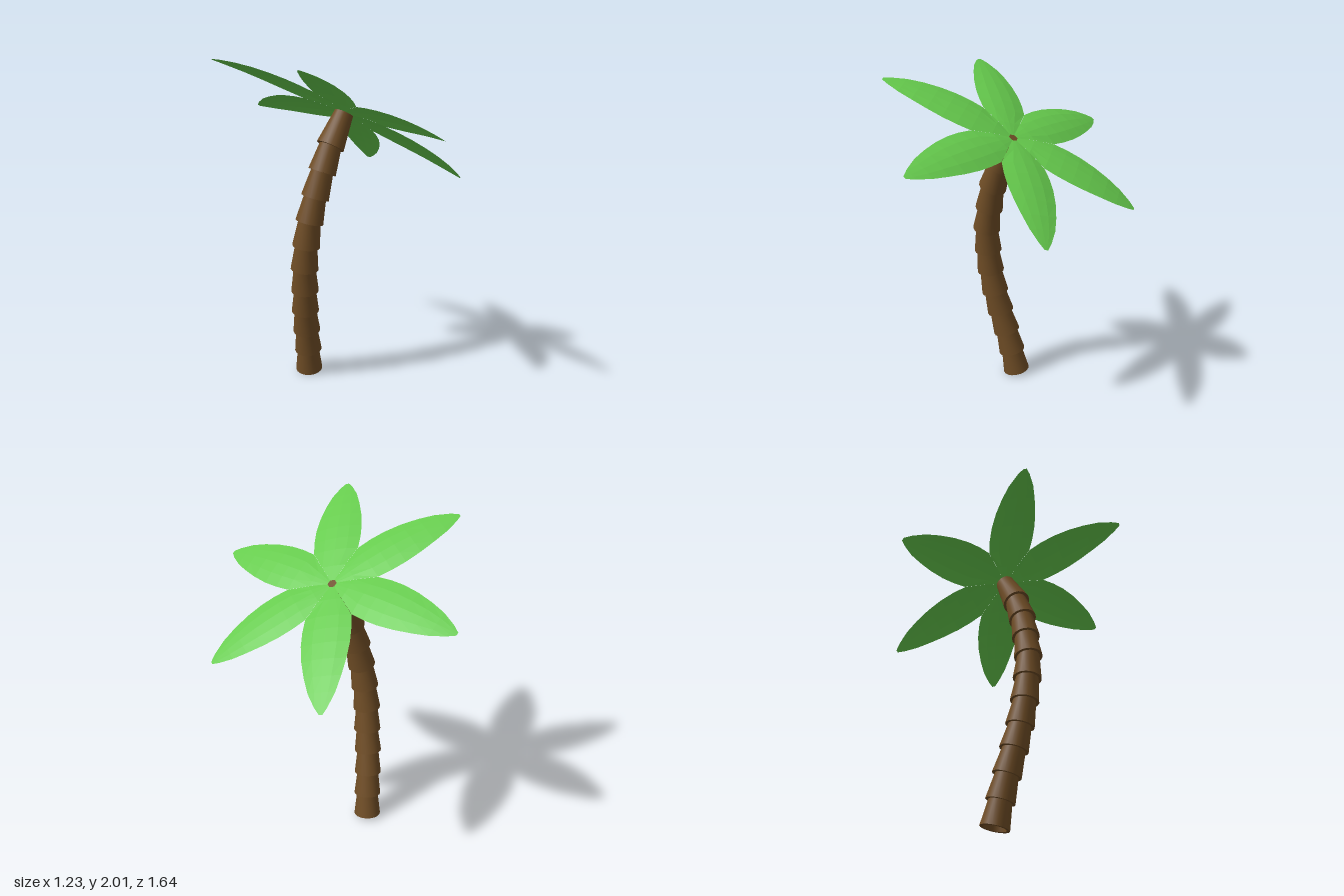
import * as THREE from 'three';
import { toCreasedNormals } from 'three/addons/utils/BufferGeometryUtils.js';

const BARK = new THREE.MeshStandardMaterial({ color: 0x6e4c25 });
const LEAF = new THREE.MeshStandardMaterial({ color: 0x66cb4d, flatShading: true, side: THREE.DoubleSide });

const HUB = new THREE.Vector3(0.026, 1.68, 0);
const CROWN_TILT = -0.54;
const FROND_LENGTH = 0.82;

// Centre of the lower rim of each trunk ring, ending at the crown
const RINGS = [
  [-0.105, 0.012, -0.19], [-0.127, 0.16, -0.17], [-0.155, 0.307, -0.148],
  [-0.185, 0.455, -0.122], [-0.207, 0.6, -0.095], [-0.225, 0.75, -0.074],
  [-0.227, 0.9, -0.053], [-0.217, 1.052, -0.032], [-0.183, 1.2, -0.019],
  [-0.14, 1.348, -0.005], [-0.08, 1.495, 0],
].map(p => new THREE.Vector3(...p)).concat(HUB);

// Flared ring with a hollow underside and a closed top
function trunkRing(from, to, isLast) {
  const dir = to.clone().sub(from);
  const length = dir.length() + (isLast ? 0 : 0.015);
  const profile = [
    [0, 0.08], [0.055, 0.07], [0.066, 0], [0.085, 0], [isLast ? 0.058 : 0.066, length], [0, length],
  ].map(p => new THREE.Vector2(...p));
  const ring = new THREE.Mesh(toCreasedNormals(new THREE.LatheGeometry(profile, 18), 0.6), BARK);
  ring.position.copy(from);
  ring.quaternion.setFromUnitVectors(new THREE.Vector3(0, 1, 0), dir.normalize());
  return ring;
}

// Frond outline: distance from the hub, half width
const OUTLINE = [
  [0.024, 0.014], [0.12, 0.069], [0.235, 0.135], [0.32, 0.143], [0.41, 0.142],
  [0.51, 0.129], [0.61, 0.106], [0.7, 0.078], [0.78, 0.038], [FROND_LENGTH, 0.01],
];

// Arched blade along +x, its edges drooping on both sides of the midrib
function frondGeometry() {
  const rows = OUTLINE.length - 1;
  const geometry = new THREE.PlaneGeometry(2, 1, 4, rows);
  const pos = geometry.attributes.position;
  for (let i = 0; i < pos.count; i++) {
    const [r, half] = OUTLINE[Math.round((pos.getY(i) + 0.5) * rows)];
    const across = pos.getX(i) * half;
    const t = r / FROND_LENGTH;
    pos.setXYZ(i, r, 0.125 * t - 0.175 * t * t - 0.9 * across * across, across);
  }
  geometry.computeVertexNormals();
  return geometry;
}

export function createModel() {
  const model = new THREE.Group();
  model.name = 'palmTree';

  const trunk = new THREE.Group();
  trunk.name = 'trunk';
  for (let i = 0; i < RINGS.length - 1; i++) {
    const ring = trunkRing(RINGS[i], RINGS[i + 1], i === RINGS.length - 2);
    ring.name = `trunkRing${i + 1}`;
    trunk.add(ring);
  }

  // Six fronds around the tilted hub
  const crown = new THREE.Group();
  crown.name = 'crown';
  crown.position.copy(HUB);
  crown.rotation.z = CROWN_TILT;
  const blade = frondGeometry();
  for (let i = 0; i < 6; i++) {
    const frond = new THREE.Mesh(blade, LEAF);
    frond.name = `frond${i + 1}`;
    frond.rotation.y = Math.PI / 6 + (i * Math.PI) / 3;
    crown.add(frond);
  }

  model.add(trunk, crown);
  return model;
}
